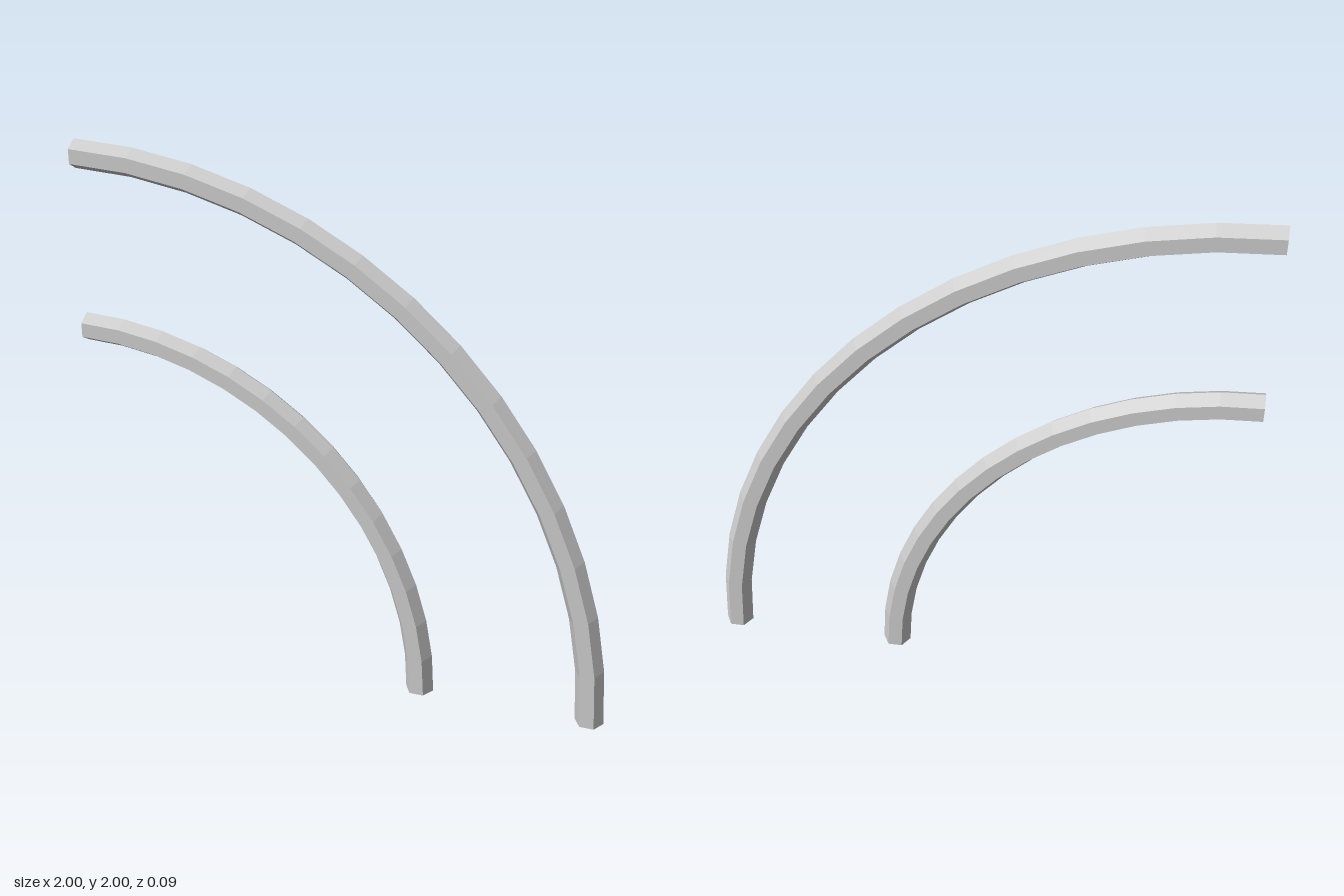
import * as THREE from 'three';

const TUBE = 0.053;    // hexagon corner radius
const SIDES = 6;
const SEGMENTS = 14;

// Quarter ring of hexagonal bar, closed at both ends
function makeArch(name, radius, material) {
  const arch = new THREE.Group();
  arch.name = name;

  const add = (part, geometry) => {
    const mesh = new THREE.Mesh(geometry, material);
    mesh.name = part;
    arch.add(mesh);
  };

  add('curvedBar', new THREE.TorusGeometry(radius, TUBE, SIDES, SEGMENTS, Math.PI / 2));

  // Foot cap faces down, top cap faces -x
  add('footCap', new THREE.CircleGeometry(TUBE, SIDES)
    .rotateX(Math.PI / 2).translate(radius, 0, 0));
  add('topCap', new THREE.CircleGeometry(TUBE, SIDES)
    .rotateZ(Math.PI / 2).rotateY(-Math.PI / 2).translate(0, radius, 0));

  arch.position.x = -1; // shared centre of both arcs
  return arch;
}

export function createModel() {
  const material = new THREE.MeshStandardMaterial({ color: 0xcccccc, flatShading: true });
  const model = new THREE.Group();
  model.name = 'quarterArches';
  model.add(
    makeArch('outerArch', 2 - TUBE, material),
    makeArch('innerArch', 1.3, material),
  );
  return model;
}
